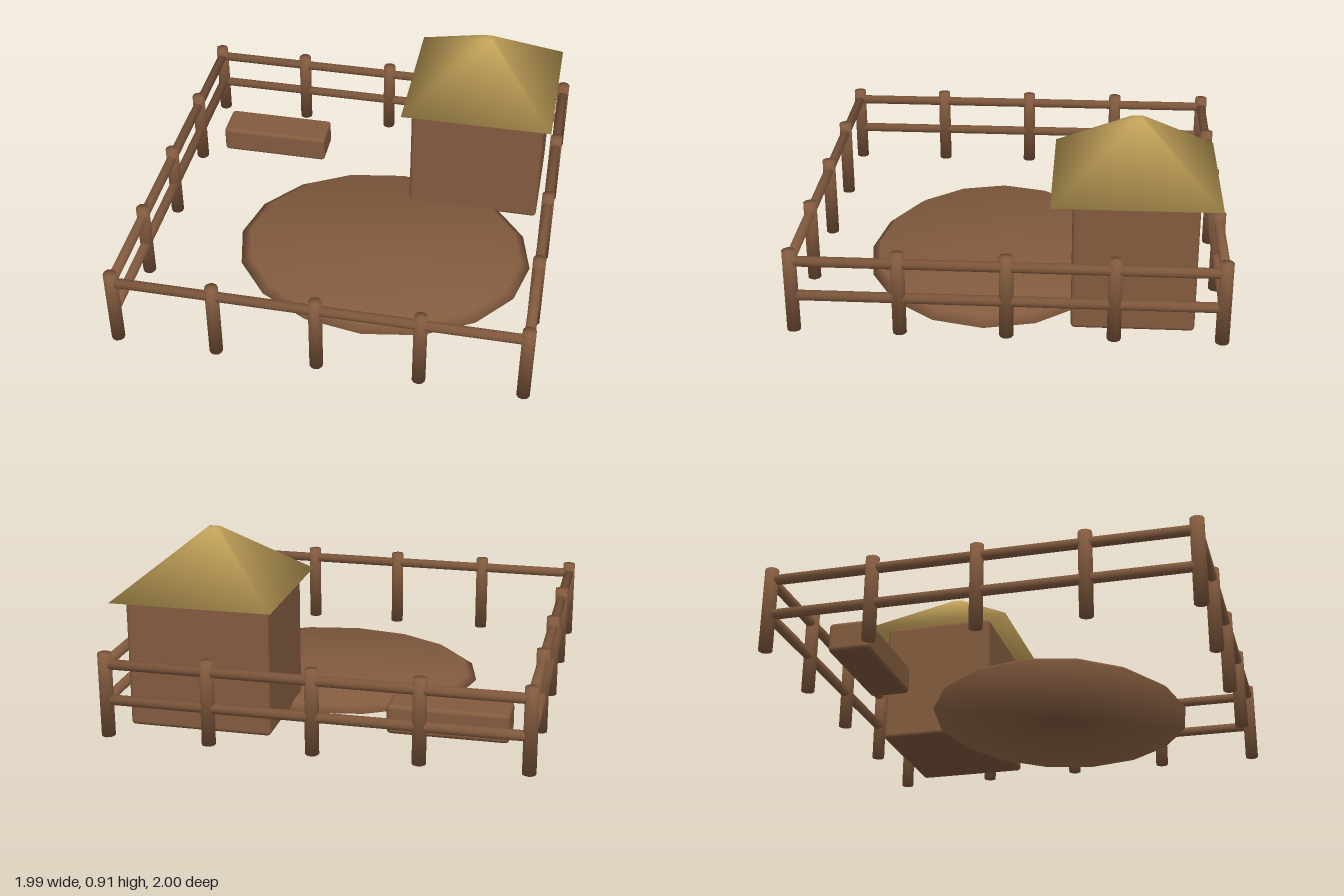
import * as THREE from 'three';
import { mergeVertices } from 'three/addons/utils/BufferGeometryUtils.js';
import { RoundedBoxGeometry } from 'three/addons/geometries/RoundedBoxGeometry.js';

const wood = new THREE.MeshStandardMaterial({ color: 0x835b3f });
wood.name = 'brown wood and earth';
const thatch = new THREE.MeshStandardMaterial({ color: 0xc4a35a });
thatch.name = 'straw thatch';

// Capped frustum whose rim normals blend the wall and the caps (soft, worn edges).
// tiltTop and tiltBottom give the vertical lean of the rim normals.
function softFrustum(rTop, rBottom, height, sides, tiltTop, tiltBottom, turn = 0) {
  let geo = new THREE.CylinderGeometry(rTop, rBottom, height, sides).rotateY(turn);
  geo.deleteAttribute('uv');
  geo.deleteAttribute('normal');
  geo = mergeVertices(geo, 1e-5);
  geo.computeVertexNormals();
  const pos = geo.attributes.position;
  const n = new THREE.Vector3();
  for (let i = 0; i < pos.count; i++) {
    const r = Math.hypot(pos.getX(i), pos.getZ(i));
    if (r < 1e-4) continue;
    n.set(pos.getX(i) / r, pos.getY(i) > 0 ? tiltTop : tiltBottom, pos.getZ(i) / r).normalize();
    geo.attributes.normal.setXYZ(i, n.x, n.y, n.z);
  }
  return geo;
}

function part(name, geo, material, x, y, z) {
  const mesh = new THREE.Mesh(geo, material);
  mesh.name = name;
  mesh.position.set(x, y, z);
  return mesh;
}

function createFence() {
  const fence = new THREE.Group();
  fence.name = 'fence';
  const half = 0.967, step = half / 2;

  // Posts, five to a side with shared corners
  const postGeo = softFrustum(0.032, 0.032, 0.4, 10, 0.78, -0.78);
  for (let i = -2; i <= 2; i++) {
    for (let j = -2; j <= 2; j++) {
      if (Math.max(Math.abs(i), Math.abs(j)) < 2) continue;
      fence.add(part('fencePost', postGeo, wood, i * step, 0.2, j * step));
    }
  }

  // Rails: two on each side, but only the upper one along the front
  const railGeo = softFrustum(0.024, 0.024, half * 2, 10, 0.78, -0.78);
  for (const y of [0.175, 0.347]) {
    for (const s of [-1, 1]) {
      const side = part('sideRail', railGeo, wood, s * half, y, 0);
      side.rotation.x = Math.PI / 2;
      fence.add(side);
      if (s === 1 && y < 0.3) continue;
      const cross = part(s === 1 ? 'frontRail' : 'backRail', railGeo, wood, 0, y, s * half);
      cross.rotation.z = Math.PI / 2;
      fence.add(cross);
    }
  }
  return fence;
}

function createHut() {
  const hut = new THREE.Group();
  hut.name = 'hut';
  hut.position.set(0.567, 0, -0.567);
  hut.add(part('hutWalls', new RoundedBoxGeometry(0.676, 0.62, 0.56, 2, 0.02), wood, 0, 0.317, 0));
  // Four-sided roof with a tiny flat top
  const roofGeo = softFrustum(0.025 * Math.SQRT2, 0.377 * Math.SQRT2, 0.28, 4, 2.6, -0.27, Math.PI / 4);
  hut.add(part('roof', roofGeo, thatch, 0, 0.77, 0));
  return hut;
}

export function createModel() {
  const model = new THREE.Group();
  model.name = 'animalPen';
  model.add(createFence(), createHut());

  // Low oval mud patch
  const mudGeo = softFrustum(0.7, 0.748, 0.03, 16, 3, -0.05);
  const mud = part('mudPatch', mudGeo, wood, 0.166, 0.015, 0.11);
  mud.scale.z = 0.83;
  model.add(mud);

  // Feeding trough
  model.add(part('trough', new RoundedBoxGeometry(0.565, 0.14, 0.194, 2, 0.02), wood, -0.567, 0.09, -0.627));
  return model;
}
